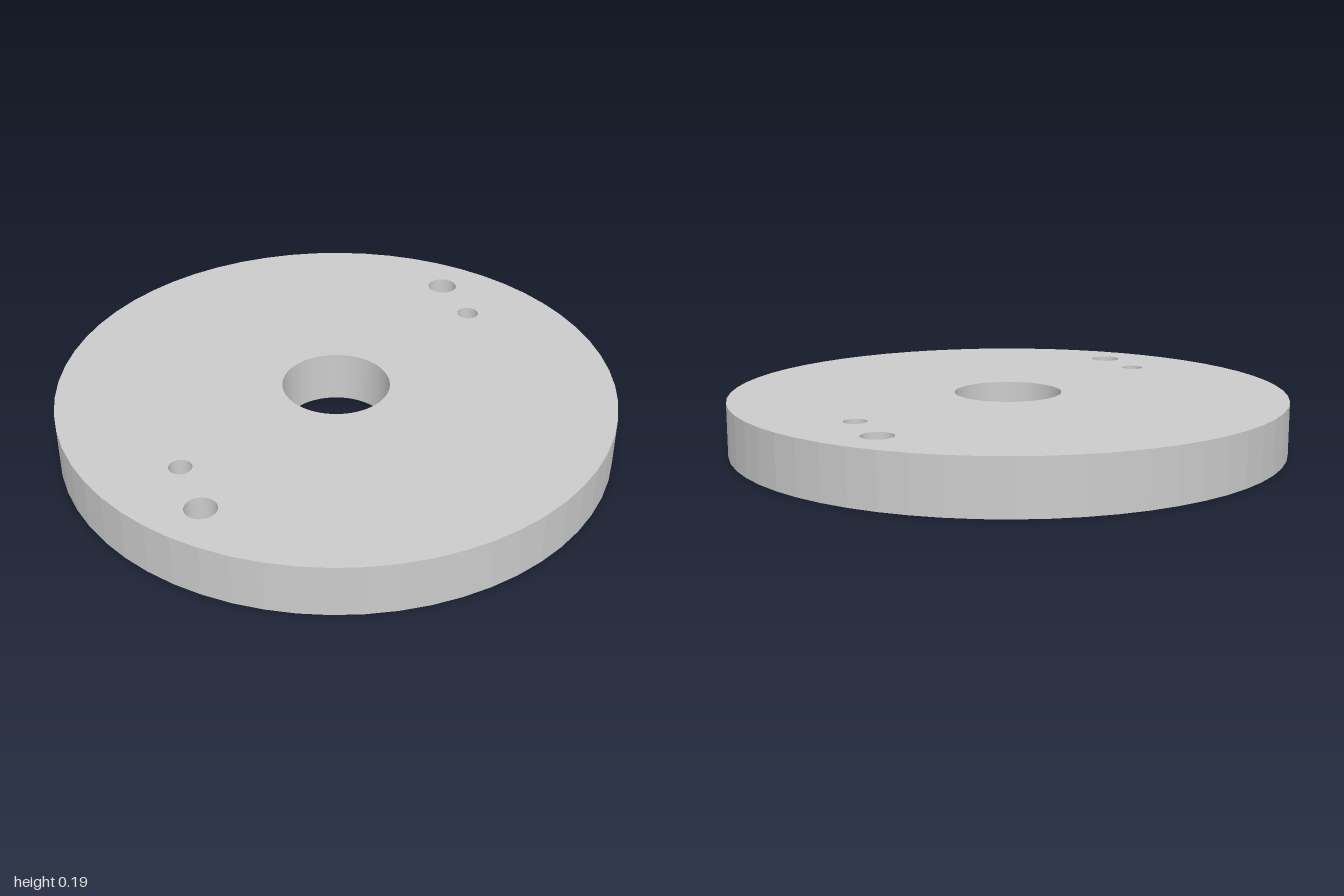
import * as THREE from 'three';

const HEIGHT = 0.19, PIN_DEPTH = 0.1;

export function createModel() {
  const group = new THREE.Group();
  group.name = 'drilledDisc';
  const outside = new THREE.MeshStandardMaterial({ color: 0xcccccc, flatShading: true });
  const inside = new THREE.MeshStandardMaterial({ color: 0xcccccc, flatShading: true, side: THREE.BackSide });

  const rim = { name: 'outerRim', x: 0, z: 0, r: 1, n: 60 };
  const through = [{ name: 'centreBore', x: 0, z: 0, r: 0.193, n: 60 }];
  const blind = [];
  // Each kind of hole comes as a diagonally opposite pair
  for (const s of [1, -1]) {
    through.push({ name: 'boltHole', x: 0.417 * s, z: -0.722 * s, r: 0.055, n: 32 });
    blind.push({ name: 'pinHole', x: 0.505 * s, z: -0.507 * s, r: 0.04, n: 32 });
  }

  const add = (name, geometry, material) => {
    const mesh = new THREE.Mesh(geometry, material);
    mesh.name = name;
    group.add(mesh);
  };

  // Ring of points matching the vertices of a cylinder wall
  const ring = ({ x, z, r, n }, facing) => Array.from({ length: n }, (_, i) => {
    const a = (i / n) * Math.PI * 2;
    return new THREE.Vector2(x + r * Math.sin(a), -facing * (z + r * Math.cos(a)));
  });

  // Flat face with holes: facing 1 looks up, -1 looks down
  const face = (name, outline, holes, y, facing) => {
    const shape = new THREE.Shape(ring(outline, facing));
    shape.holes = holes.map((h) => new THREE.Path(ring(h, facing)));
    add(name, new THREE.ShapeGeometry(shape).rotateX(-facing * Math.PI / 2).translate(0, y, 0), outside);
  };

  // Open cylinder wall between two heights
  const wall = ({ name, x, z, r, n }, y0, y1, material) => add(name + 'Wall',
    new THREE.CylinderGeometry(r, r, y1 - y0, n, 1, true).translate(x, (y0 + y1) / 2, z), material);

  face('topFace', rim, [...through, ...blind], HEIGHT, 1);
  face('bottomFace', rim, through, 0, -1);
  wall(rim, 0, HEIGHT, outside);
  through.forEach((h) => wall(h, 0, HEIGHT, inside));

  // Pin holes stop partway down
  blind.forEach((h) => {
    wall(h, HEIGHT - PIN_DEPTH, HEIGHT, inside);
    face('pinHoleFloor', h, [], HEIGHT - PIN_DEPTH, 1);
  });
  return group;
}
